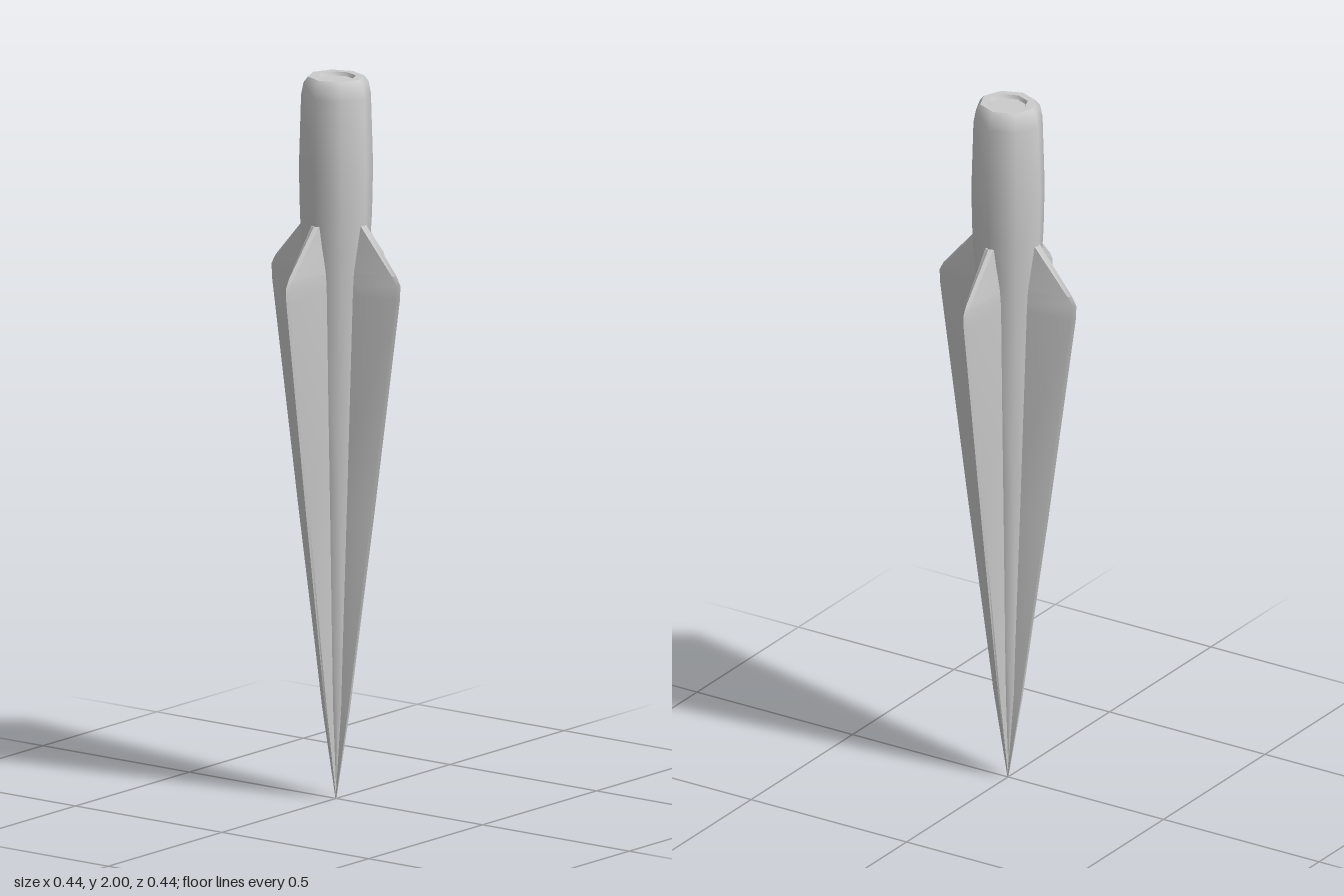
import * as THREE from 'three';
import { toCreasedNormals } from 'three/addons/utils/BufferGeometryUtils.js';

// Join closed cross-section rings (listed bottom to top) and cap the ends.
function loft(rings) {
  const n = rings[0].length, pos = rings.flat(2), index = [];
  for (let i = 0; i < rings.length - 1; i++) {
    for (let j = 0; j < n; j++) {
      const a = i * n + j, b = i * n + (j + 1) % n;
      index.push(a, a + n, b, b, a + n, b + n);
    }
  }
  const top = (rings.length - 1) * n;
  for (let j = 1; j < n - 1; j++) index.push(0, j, j + 1, top, top + j + 1, top + j);
  const geometry = new THREE.BufferGeometry();
  geometry.setAttribute('position', new THREE.Float32BufferAttribute(pos, 3));
  geometry.setIndex(index);
  return toCreasedNormals(geometry, 0.6);
}

export function createModel() {
  const group = new THREE.Group();
  const material = new THREE.MeshStandardMaterial({ color: 0xcccccc });

  // Eight-sided core: tapering point, slightly swollen socket, shallow rim recess
  const profile = [
    [0, 0], [0.027, 0.25], [0.062, 0.9], [0.094, 1.52], [0.1, 1.62], [0.103, 1.75],
    [0.097, 1.95], [0.09, 1.985], [0.078, 2], [0.055, 2], [0.05, 1.99], [0, 1.99],
  ].map(([r, y]) => new THREE.Vector2(r, y));
  const coreGeometry = toCreasedNormals(new THREE.LatheGeometry(profile, 8), 0.9);
  coreGeometry.scale(0.95, 1, 1);
  const core = new THREE.Mesh(coreGeometry, material);
  core.name = 'socketAndCore';
  group.add(core);

  // Blade levels: height, reach, half thickness at the axis, half thickness at the edge
  const levels = [
    [0, 0.001, 0.001, 0.001], [0.25, 0.047, 0.012, 0.004], [0.8, 0.13, 0.024, 0.005],
    [1.41, 0.218, 0.037, 0.006], [1.45, 0.22, 0.037, 0.006], [1.475, 0.207, 0.036, 0.008],
    [1.6, 0.098, 0.024, 0.012],
  ];
  // Counter-clockwise in x and -z, with a blunt nose at the outer edge
  const bladeGeometry = loft(levels.map(([y, reach, root, edge]) => [
    [0, y, -root], [reach * 0.95, y, -edge], [reach, y, 0], [reach * 0.95, y, edge], [0, y, root],
  ]));
  ['left', 'back', 'right', 'front'].forEach((side, i) => {
    const blade = new THREE.Mesh(bladeGeometry, material);
    blade.name = side + 'Blade';
    blade.rotation.y = i * Math.PI / 2;
    group.add(blade);
  });
  return group;
}
